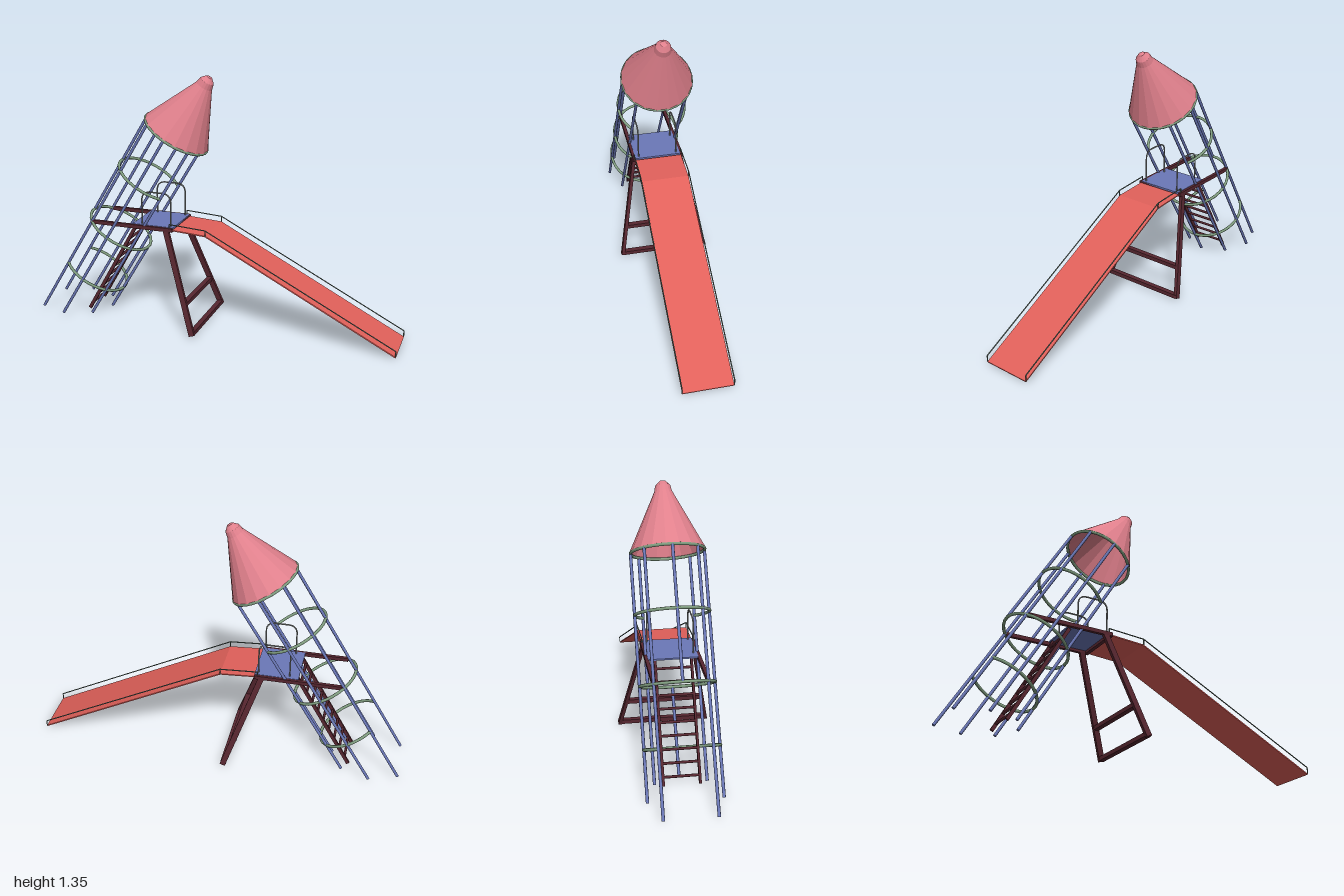
import * as THREE from 'three';

const mat = (name, color, extra = {}) => {
  const m = new THREE.MeshStandardMaterial({ color, ...extra });
  m.name = name;
  return m;
};

export function createModel() {
  const model = new THREE.Group();
  model.name = 'rocketSlide';
  const pink = mat('pink roof', 0xe0808c, { flatShading: true, side: THREE.DoubleSide });
  const blue = mat('blue', 0x6b78b8);
  const green = mat('sage green', 0x7f9c7f);
  const maroon = mat('maroon', 0x56262f);
  const red = mat('slide red', 0xe0605a);
  const grey = mat('hoop grey', 0x8c908e);
  const railGreen = mat('rail green', 0x5f7068);

  const V = (x, y, z) => new THREE.Vector3(x, y, z);
  const UP = V(0, 1, 0);
  const add = (parent, name, geo, material) => {
    const mesh = new THREE.Mesh(geo, material);
    mesh.name = name;
    parent.add(mesh);
    return mesh;
  };
  // Places a geometry of unit height between two points
  const span = (parent, name, geo, a, b, material) => {
    const d = b.clone().sub(a);
    const mesh = add(parent, name, geo, material);
    mesh.scale.y = d.length();
    mesh.position.copy(a).add(b).multiplyScalar(0.5);
    mesh.quaternion.setFromUnitVectors(UP, d.normalize());
    return mesh;
  };
  const rod = (parent, name, a, b, r, material) =>
    span(parent, name, new THREE.CylinderGeometry(r, r, 1, 8), a, b, material);
  const beam = (parent, name, a, b, w, d, material) =>
    span(parent, name, new THREE.BoxGeometry(w, 1, d), a, b, material);

  // Leaning rocket cage: local y runs along its axis, local +x is the slide side
  const lean = 0.541, R = 0.183, roofT = 1.21;
  const ringT = [0.26, 0.56, 0.905];
  const rocket = new THREE.Group();
  rocket.name = 'rocketCage';
  rocket.position.x = -0.845;
  rocket.rotation.z = -lean;
  model.add(rocket);

  // Poles: the rear one hangs from the middle ring up, the front one stops at it
  for (let i = 0; i < 8; i++) {
    const a = (i * Math.PI) / 4;
    const x = R * Math.cos(a), z = R * Math.sin(a);
    const ground = (0.011 + Math.sin(lean) * x) / Math.cos(lean);
    const from = i === 4 ? ringT[1] : ground;
    const to = i === 0 ? ringT[1] : roofT;
    rod(rocket, 'pole', V(x, from, z), V(x, to, z), 0.008, blue);
  }

  // Rings: lowest open at the back, third open at the front
  const ring = (t, start, arc) => {
    const g = new THREE.TorusGeometry(R, 0.008, 8, 32, arc);
    g.rotateZ(start).rotateX(Math.PI / 2);
    add(rocket, 'ring', g, green).position.y = t;
  };
  ring(ringT[0], -0.75 * Math.PI, 1.5 * Math.PI);
  ring(ringT[1], 0, 2 * Math.PI);
  ring(ringT[2], 0.25 * Math.PI, 1.5 * Math.PI);
  ring(roofT, 0, 2 * Math.PI);

  // Nose cone roof
  const profile = [[0.19, 0], [0.045, 0.302], [0.038, 0.333], [0.016, 0.356], [0, 0.36]]
    .map(([r, y]) => new THREE.Vector2(r, y));
  add(rocket, 'roof', new THREE.LatheGeometry(profile, 18), pink).position.y = roofT;

  // Platform and its frame
  add(model, 'platform', new THREE.BoxGeometry(0.23, 0.008, 0.25), blue).position.set(-0.315, 0.554, 0);
  beam(model, 'crossBeam', V(-0.21, 0.545, -0.13), V(-0.21, 0.545, 0.13), 0.02, 0.02, maroon);

  for (const s of [-1, 1]) {
    beam(model, 'platformBeam', V(-0.66, 0.546, s * 0.13), V(-0.2, 0.546, s * 0.13), 0.02, 0.018, maroon);
    beam(model, 'frontLeg', V(-0.055, 0.009, s * 0.235), V(-0.238, 0.543, s * 0.128), 0.03, 0.018, maroon);
    beam(model, 'ladderRail', V(-0.72, 0.02, s * 0.09), V(-0.42, 0.545, s * 0.09), 0.018, 0.012, maroon);

    // Arched handrail
    const hoop = new THREE.CurvePath();
    const z = s * 0.105, x0 = -0.382, x1 = -0.218, c = 0.05, top = 0.735;
    hoop.add(new THREE.LineCurve3(V(x0, 0.555, z), V(x0, top - c, z)));
    hoop.add(new THREE.QuadraticBezierCurve3(V(x0, top - c, z), V(x0, top, z), V(x0 + c, top, z)));
    hoop.add(new THREE.LineCurve3(V(x0 + c, top, z), V(x1 - c, top, z)));
    hoop.add(new THREE.QuadraticBezierCurve3(V(x1 - c, top, z), V(x1, top, z), V(x1, top - c, z)));
    hoop.add(new THREE.LineCurve3(V(x1, top - c, z), V(x1, 0.555, z)));
    add(model, 'handrail', new THREE.TubeGeometry(hoop, 48, 0.004, 6), grey);

    // Slide side rail with short uprights
    const bed = [[-0.218, 0.545], [-0.018, 0.532], [0.996, 0.01]];
    bed.forEach(([x, y], i) => {
      const zr = s * 0.131;
      rod(model, 'slideUpright', V(x, y, zr), V(x, y + 0.032, zr), 0.003, railGreen);
      if (i) {
        const [px, py] = bed[i - 1];
        rod(model, 'slideRail', V(px, py + 0.032, zr), V(x, y + 0.032, zr), 0.003, railGreen);
      }
    });
  }

  // Leg crossbars
  for (const y of [0.02, 0.168]) {
    const k = (y - 0.009) / 0.534;
    const x = -0.055 - 0.183 * k, z = 0.235 - 0.107 * k;
    beam(model, 'legCrossbar', V(x, y, -z), V(x, y, z), 0.028, 0.022, maroon);
  }

  // Ladder rungs
  for (let i = 0; i < 9; i++) {
    const k = 0.07 + i * 0.108;
    const x = -0.72 + 0.3 * k, y = 0.02 + 0.525 * k;
    rod(model, 'ladderRung', V(x, y, -0.09), V(x, y, 0.09), 0.007, maroon);
  }

  // Slide bed
  const bedShape = new THREE.Shape([
    [-0.2, 0.541], [-0.02, 0.529], [0.996, 0.003],
    [0.998, 0.009], [-0.018, 0.535], [-0.2, 0.547],
  ].map(([x, y]) => new THREE.Vector2(x, y)));
  const bedGeo = new THREE.ExtrudeGeometry(bedShape, { depth: 0.26, bevelEnabled: false });
  add(model, 'slideBed', bedGeo, red).position.z = -0.13;

  return model;
}
